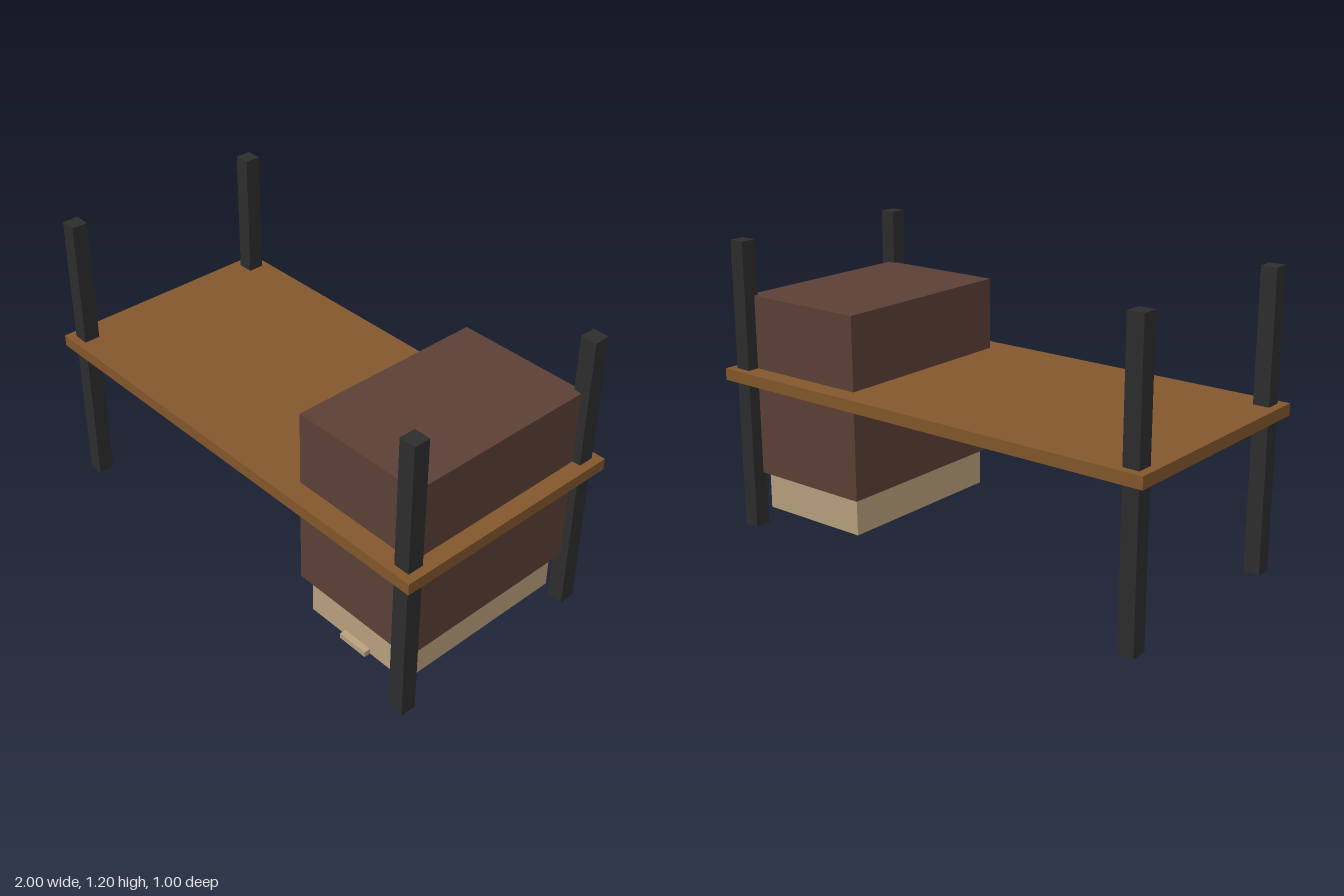
import * as THREE from 'three';

const mat = (name, color) => {
  const m = new THREE.MeshStandardMaterial({ color });
  m.name = name;
  return m;
};

export function createModel() {
  const group = new THREE.Group();
  group.name = 'desk';
  const wood = mat('wood', 0x83572b);
  const metal = mat('dark metal', 0x2d2d2d);
  const brown = mat('dark brown', 0x5c4037);
  const tan = mat('tan', 0xbaa17e);

  // Box given by its lower and upper limits on each axis
  const box = (name, material, [x0, x1], [y0, y1], [z0, z1]) => {
    const mesh = new THREE.Mesh(new THREE.BoxGeometry(x1 - x0, y1 - y0, z1 - z0), material);
    mesh.position.set((x0 + x1) / 2, (y0 + y1) / 2, (z0 + z1) / 2);
    mesh.name = name;
    group.add(mesh);
  };

  // Table top
  box('tableTop', wood, [-1, 1], [0.627, 0.675], [-0.5, 0.5]);

  // Four posts running through the top
  const h = 0.0333;
  for (const [sx, side] of [[1, 'Left'], [-1, 'Right']]) {
    for (const [sz, end] of [[1, 'front'], [-1, 'back']]) {
      const x = sx * 0.932, z = sz * 0.434;
      box(`${end}${side}Post`, metal, [x - h, x + h], [0, 1.2], [z - h, z + h]);
    }
  }

  // Cabinet passing through the top, with a drawer hung beneath it
  box('cabinet', brown, [0.365, 0.931], [0.228, 0.975], [-0.418, 0.413]);
  box('drawer', tan, [0.4, 0.896], [0.065, 0.228], [-0.382, 0.385]);
  box('drawerHandle', tan, [0.582, 0.714], [0.065, 0.088], [0.385, 0.412]);

  return group;
}
